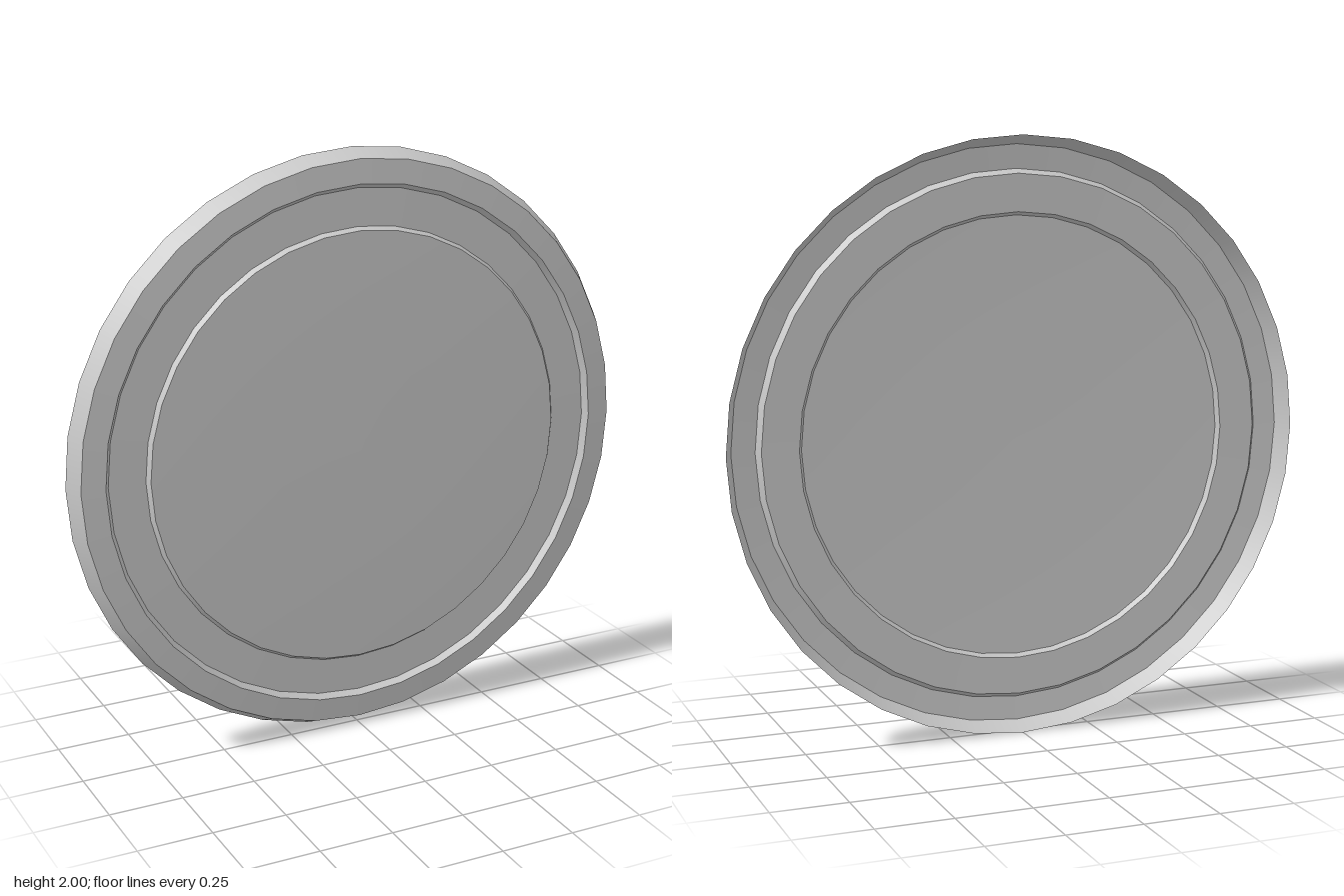
import * as THREE from 'three';

const SEGMENTS = 36;

// Profiles as [radius, z], running from the outer back edge to the front centre.
// Each band is its own lathe, so it is smooth around and sharp where bands meet.
const BANDS = {
  outerWall: [[1, -0.035], [0.97, 0.025]],
  rim: [[0.97, 0.025], [0.89, 0.031]],
  grooveStep: [[0.89, 0.031], [0.875, 0.01]],
  grooveFloor: [[0.875, 0.01], [0.75, 0.012]],
  discStep: [[0.75, 0.012], [0.739, 0.028]],
  centreDisc: [[0.739, 0.028], [0.55, 0.032], [0.3, 0.034], [0, 0.035]],
};

export function createModel() {
  const model = new THREE.Group();
  model.name = 'shallowLid';
  // Thin pressed shell, open at the back
  const material = new THREE.MeshStandardMaterial({ color: 0xcccccc, side: THREE.DoubleSide });

  for (const [name, profile] of Object.entries(BANDS)) {
    const points = profile.map(([r, z]) => new THREE.Vector2(r, z));
    const geometry = new THREE.LatheGeometry(points, SEGMENTS);
    geometry.rotateX(Math.PI / 2); // lathe axis to +z
    geometry.translate(0, 1, 0);
    const mesh = new THREE.Mesh(geometry, material);
    mesh.name = name;
    model.add(mesh);
  }
  return model;
}
